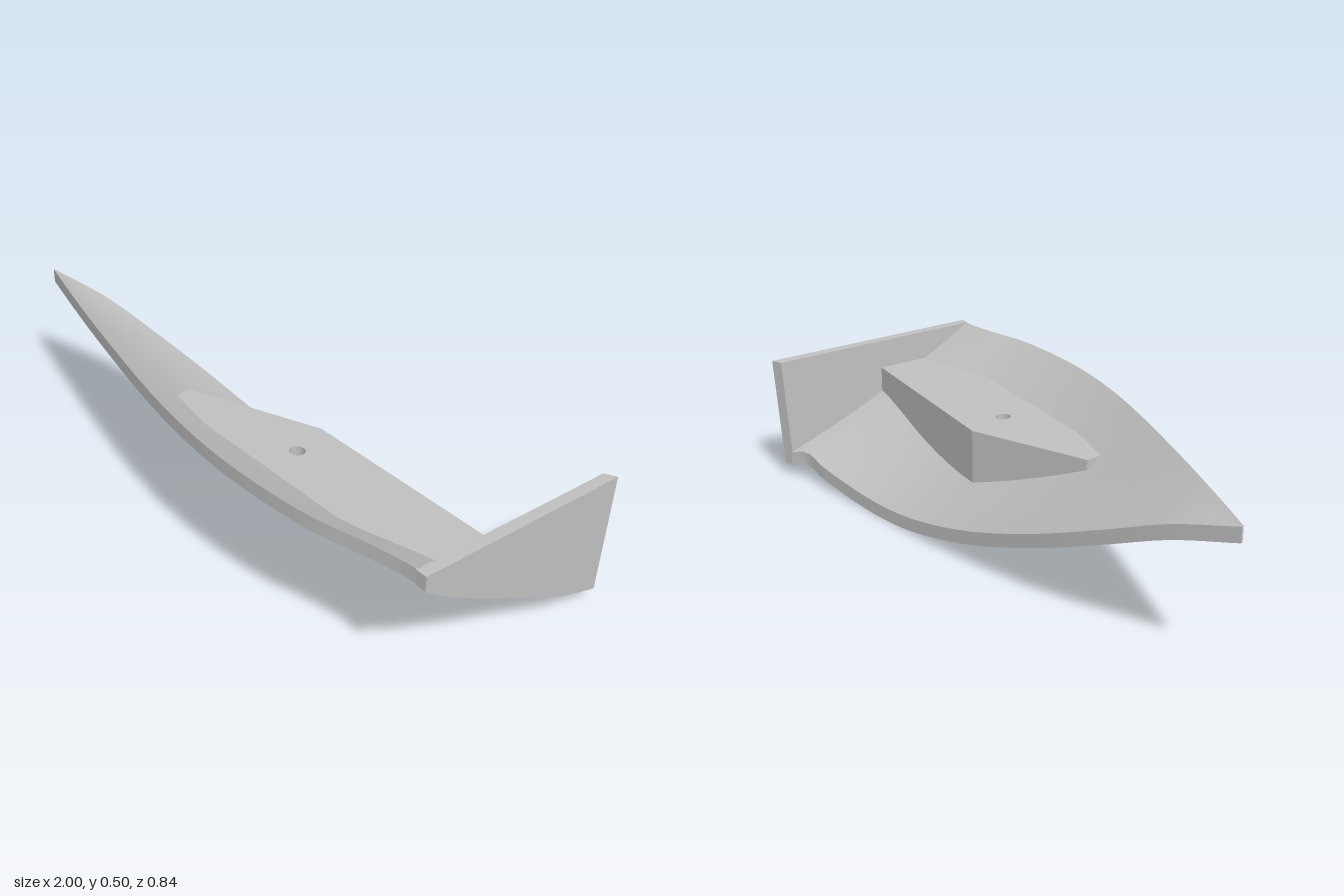
import * as THREE from 'three';
import { mergeVertices } from 'three/addons/utils/BufferGeometryUtils.js';

// Shell stations: position along x, then front edge z, back edge z, back edge y, sag of the section
const STATIONS = [
  [-1, 0.155, 0.15, 0.428, 0], [-0.8, 0.21, 0.07, 0.372, 0.006], [-0.6, 0.262, 0.003, 0.29, 0.012],
  [-0.4, 0.31, -0.055, 0.208, 0.018], [-0.2, 0.355, -0.1, 0.133, 0.02], [0, 0.392, -0.145, 0.07, 0.016],
  [0.2, 0.415, -0.19, 0.025, 0.012], [0.35, 0.42, -0.222, 0.004, 0.012], [0.5, 0.414, -0.255, 0, 0.013],
  [0.65, 0.397, -0.29, 0.012, 0.015], [0.8, 0.36, -0.328, 0.036, 0.018], [0.92, 0.336, -0.355, 0.058, 0.021],
  [0.96, 0.332, -0.388, 0.048, 0.022],
];
const THICK = 0.047;
const HOLE = { x: 0.26, z: 0.12, r: 0.025, bore: 0.06, ceiling: 0.29 };
const spline = new THREE.CubicInterpolant(STATIONS.map(s => s[0]), STATIONS.flatMap(s => s.slice(1)), 4);
const station = x => Array.from(spline.evaluate(Math.min(x, 0.96)));
const rimY = z => 0.467 + 0.0655 * z;
const blockY = z => 0.365 + 0.065 * z;

// Point on the shell: v runs from the back edge (0) to the front edge (1)
function shellPoint(x, v, lift = 0) {
  const [zT, zK, yK, sag] = station(x);
  const y = yK + (rimY(zT) - THICK - yK) * v - sag * 4 * v * (1 - v);
  return [x, y + lift, zK + (zT - zK) * v];
}
function shellV(x, z) {
  const [zT, zK] = station(x);
  return (z - zK) / (zT - zK);
}
const shellY = (x, z) => shellPoint(x, shellV(x, z))[1];

function circle(r, n = 28) {
  return Array.from({ length: n }, (_, i) => {
    const a = (i / n) * Math.PI * 2;
    return new THREE.Vector2(HOLE.x + r * Math.cos(a), HOLE.z + r * Math.sin(a));
  });
}

// Triangulated flat region with one hole, as triples of 2D points (counterclockwise)
function fill(outline, hole) {
  const all = [...outline, ...hole];
  return THREE.ShapeUtils.triangulateShape(outline, [hole]).map(f => {
    const t = f.map(i => all[i]);
    return THREE.ShapeUtils.area(t) < 0 ? t.reverse() : t;
  });
}

function fromTriangles(tris, smooth) {
  let g = new THREE.BufferGeometry();
  g.setAttribute('position', new THREE.Float32BufferAttribute(tris.flat(2), 3));
  if (smooth) g = mergeVertices(g, 1e-5);
  g.computeVertexNormals();
  return g;
}

export function createModel() {
  const group = new THREE.Group();
  const grey = new THREE.MeshStandardMaterial({ color: 0xc0c0c0, side: THREE.DoubleSide });
  grey.name = 'light grey';
  const add = (name, geometry) => {
    const m = new THREE.Mesh(geometry, grey);
    m.name = name;
    group.add(m);
    return m;
  };

  // Curved shell skins, with a patch around the bore
  const NX = 56, NV = 10, I0 = 33, I1 = 39, J0 = 3, J1 = 7;
  const X = i => -1 + (1.96 * i) / NX, V = j => j / NV;
  const flat = [];
  for (let i = 0; i < NX; i++) for (let j = 0; j < NV; j++) {
    if (i >= I0 && i < I1 && j >= J0 && j < J1) continue;
    const [a, b, c, d] = [[i, j], [i + 1, j], [i + 1, j + 1], [i, j + 1]]
      .map(([p, q]) => new THREE.Vector2(X(p), V(q)));
    flat.push([a, b, c], [a, c, d]);
  }
  const border = [];
  for (let i = I0; i < I1; i++) border.push(new THREE.Vector2(X(i), V(J0)));
  for (let j = J0; j < J1; j++) border.push(new THREE.Vector2(X(I1), V(j)));
  for (let i = I1; i > I0; i--) border.push(new THREE.Vector2(X(i), V(J1)));
  for (let j = J1; j > J0; j--) border.push(new THREE.Vector2(X(I0), V(j)));
  const boreUV = circle(HOLE.bore).map(p => new THREE.Vector2(p.x, shellV(p.x, p.y)));
  flat.push(...fill(border, boreUV));
  add('shellOuter', fromTriangles(flat.map(t => t.map(p => shellPoint(p.x, p.y))), true));
  add('shellInner', fromTriangles(flat.map(t => t.map(p => shellPoint(p.x, p.y, THICK)).reverse()), true));

  // Rims along the front and back edges, and the tip
  for (const [name, v] of [['backRim', 0], ['frontRim', 1]]) {
    const tris = [];
    for (let i = 0; i < NX; i++) {
      const a = shellPoint(X(i), v), b = shellPoint(X(i), v, THICK);
      const c = shellPoint(X(i + 1), v, THICK), d = shellPoint(X(i + 1), v);
      tris.push(...(v ? [[a, c, b], [a, d, c]] : [[a, b, c], [a, c, d]]));
    }
    add(name, fromTriangles(tris, true));
  }
  const tip = [shellPoint(-1, 0), shellPoint(-1, 1), shellPoint(-1, 1, THICK), shellPoint(-1, 0, THICK)];
  add('tip', fromTriangles([[tip[0], tip[1], tip[2]], [tip[0], tip[2], tip[3]]]));

  // End plate, its back edge slightly bevelled
  const plateShape = new THREE.Shape([
    [0.335, 0.489], [-0.425, 0.439], [-0.4, 0.042], [-0.35, 0.06], [-0.24, 0.1],
    [0.1, 0.285], [0.25, 0.375], [0.335, 0.44],
  ].map(p => new THREE.Vector2(...p)));
  const plate = new THREE.ExtrudeGeometry(plateShape, { depth: 0.037, bevelEnabled: false });
  plate.rotateY(-Math.PI / 2).translate(1, 0, 0);
  const pos = plate.attributes.position;
  for (let i = 0; i < pos.count; i++) {
    if (pos.getX(i) < 0.98 && pos.getZ(i) < -0.38) pos.setZ(i, pos.getZ(i) + 0.02);
  }
  plate.computeVertexNormals();
  add('endPlate', plate);

  // Mounting block: flat top and walls that sink into the shell
  const outline = [[0.965, -0.02], [0.21, -0.02], [-0.21, 0.165], [-0.2, 0.25], [0.965, 0.25]]
    .map(p => new THREE.Vector2(...p));
  const top = p => [p.x, blockY(p.y), p.y];
  const low = p => [p.x, shellY(p.x, p.y) + 0.015, p.y];
  const block = fill(outline, circle(HOLE.r)).map(t => t.map(top).reverse());
  for (let i = 0; i < 3; i++) {
    const p = outline[i], q = outline[i + 1];
    block.push([low(p), low(q), top(q)], [low(p), top(q), top(p)]);
  }
  add('mountingBlock', fromTriangles(block));

  // Bolt hole: wide bore below, narrow hole above, ring between them
  const tube = (name, r, from, to) => {
    const c = circle(r), tris = [];
    c.forEach((p, i) => {
      const q = c[(i + 1) % c.length];
      const [a, b] = [p, q].map(s => [s.x, from(s), s.y]);
      const [d, e] = [p, q].map(s => [s.x, to(s), s.y]);
      tris.push([a, b, e], [a, e, d]);
    });
    add(name, fromTriangles(tris, true));
  };
  tube('boreWall', HOLE.bore, p => shellY(p.x, p.y), () => HOLE.ceiling);
  tube('boltHoleWall', HOLE.r, () => HOLE.ceiling, p => blockY(p.y));
  const ring = new THREE.RingGeometry(HOLE.r, HOLE.bore, 28).rotateX(Math.PI / 2);
  add('boreCeiling', ring).position.set(HOLE.x, HOLE.ceiling, HOLE.z);

  return group;
}
